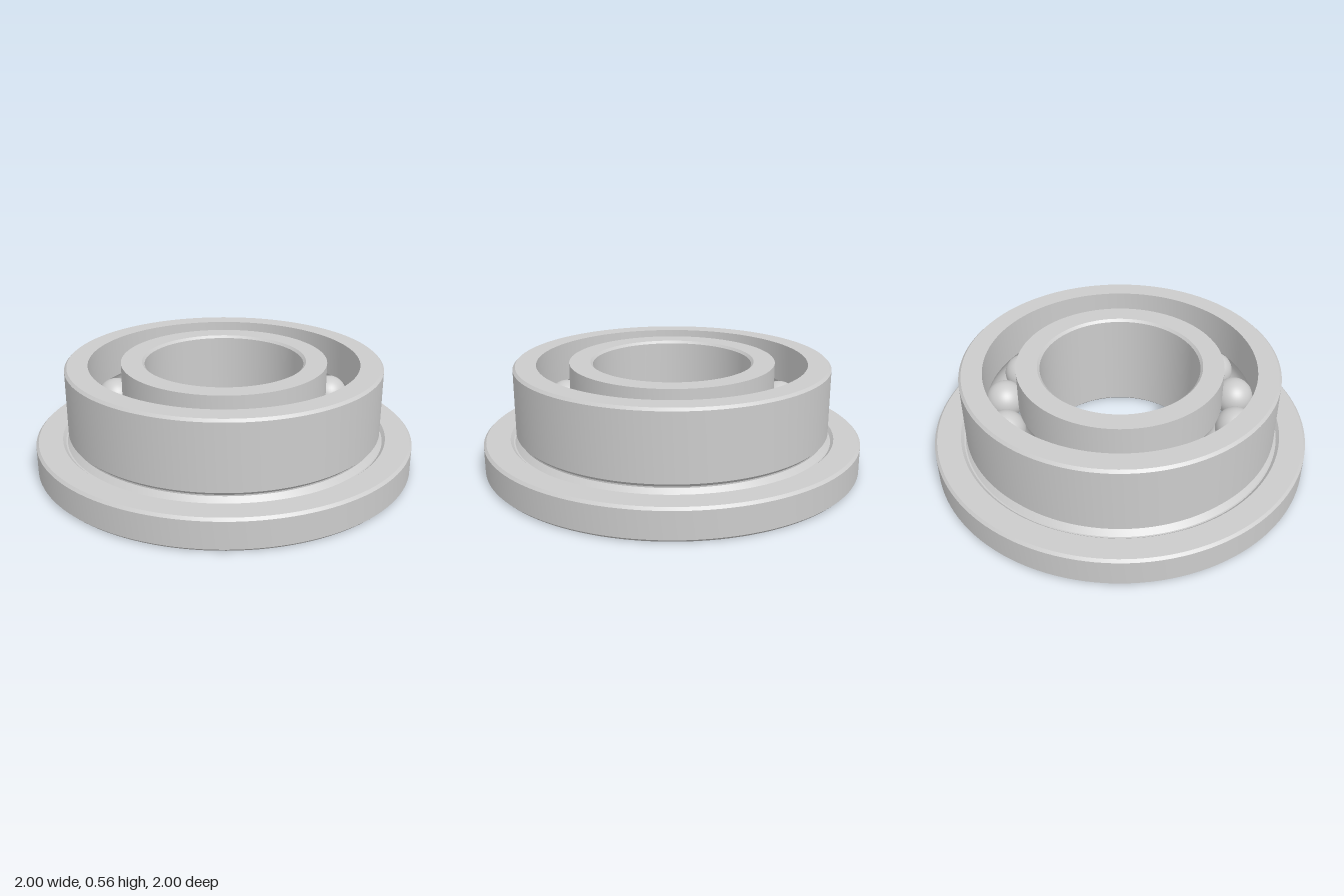
import * as THREE from 'three';
import { toCreasedNormals } from 'three/addons/utils/BufferGeometryUtils.js';

const HEIGHT = 0.555;
const MID = HEIGHT / 2;
const PITCH = 0.625; // radius of the ball circle
const BALL_RADIUS = 0.103;
const BALL_COUNT = 15;
const GAP = 0.085; // half the space between the rings

// Arc of the ball track, centred on the pitch circle; side is +1 outer, -1 inner
function track(side, upwards) {
  const r = BALL_RADIUS + 0.002;
  const limit = Math.acos(GAP / r);
  const points = [];
  for (let i = 0; i <= 12; i++) {
    const a = (i / 6 - 1) * limit * (upwards ? 1 : -1);
    points.push([PITCH + side * r * Math.cos(a), MID + r * Math.sin(a)]);
  }
  return points;
}

// Closed profile, counter-clockwise in (radius, height), turned about the axis
function turnedRing(name, profile, material) {
  const points = [...profile, profile[0]].map(([r, y]) => new THREE.Vector2(r, y));
  const geometry = toCreasedNormals(new THREE.LatheGeometry(points, 128), 0.45);
  const mesh = new THREE.Mesh(geometry, material);
  mesh.name = name;
  return mesh;
}

export function createModel() {
  const group = new THREE.Group();
  group.name = 'flangedBallBearing';
  const material = new THREE.MeshStandardMaterial({ color: 0xcccccc });

  // Outer ring: chamfered flange, relief groove, chamfered body, ball track
  const outerInside = PITCH + GAP;
  group.add(turnedRing('outerRing', [
    [outerInside, 0],
    [0.987, 0], [1, 0.013],
    [1, 0.152], [0.987, 0.165],
    [0.862, 0.165], [0.846, 0.149],
    [0.838, 0.149], [0.812, 0.175],
    [0.812, 0.182], [0.83, 0.2],
    [0.83, 0.542], [0.817, HEIGHT],
    [outerInside, HEIGHT],
    ...track(1, false),
  ], material));

  // Inner ring: ball track outside, chamfered bore inside
  const innerOutside = PITCH - GAP;
  group.add(turnedRing('innerRing', [
    [0.43, 0], [innerOutside, 0],
    ...track(-1, true),
    [innerOutside, HEIGHT], [0.43, HEIGHT],
    [0.417, HEIGHT - 0.013], [0.417, 0.013],
  ], material));

  // Balls, the first at the back
  const balls = new THREE.Group();
  balls.name = 'balls';
  const ballGeometry = new THREE.SphereGeometry(BALL_RADIUS, 40, 24);
  for (let i = 0; i < BALL_COUNT; i++) {
    const a = (i / BALL_COUNT) * Math.PI * 2;
    const ball = new THREE.Mesh(ballGeometry, material);
    ball.name = 'ball';
    ball.position.set(PITCH * Math.sin(a), MID, -PITCH * Math.cos(a));
    balls.add(ball);
  }
  group.add(balls);

  return group;
}
